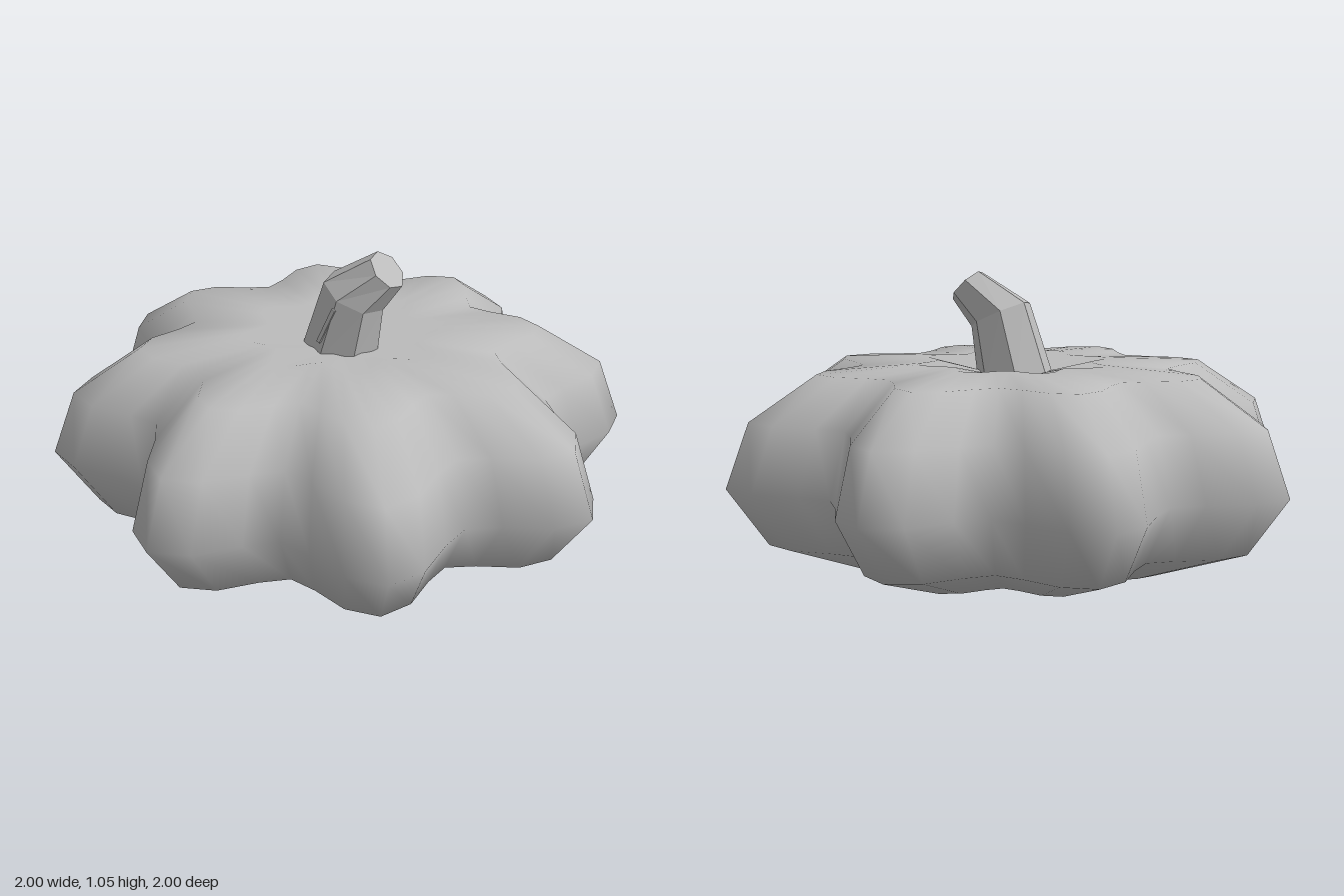
import * as THREE from 'three';
import { mergeVertices } from 'three/addons/utils/BufferGeometryUtils.js';

const grey = new THREE.MeshStandardMaterial({ color: 0xbbbbbb });
grey.name = 'grey';

// Squat lathe whose radius swells into eight smooth lobes
function makeBody() {
  const profile = [
    [0, 0.03], [0.2, 0], [0.53, 0.04], [0.86, 0.15], [1, 0.35],
    [0.92, 0.57], [0.69, 0.72], [0.34, 0.74], [0, 0.68],
  ].map(([r, y]) => new THREE.Vector2(r, y));
  let geo = new THREE.LatheGeometry(profile, 48);
  const p = geo.attributes.position;
  for (let i = 0; i < p.count; i++) {
    const angle = Math.atan2(p.getX(i), p.getZ(i));
    const k = 0.883 + 0.117 * Math.cos(8 * angle);
    p.setXYZ(i, p.getX(i) * k, p.getY(i), p.getZ(i) * k);
  }
  // Weld the seam so the shading stays smooth all round
  geo.deleteAttribute('uv');
  geo.deleteAttribute('normal');
  geo = mergeVertices(geo, 1e-4);
  geo.computeVertexNormals();
  const mesh = new THREE.Mesh(geo, grey);
  mesh.name = 'pumpkinBody';
  return mesh;
}

// Seven-sided faceted stem: three rings, each tilted further towards +x
function makeStem() {
  const rings = [
    { c: [-0.005, 0.68, 0.005], rx: 0.14, rz: 0.12, tilt: 0 },
    { c: [0.055, 0.9, 0.005], rx: 0.115, rz: 0.1, tilt: 0.42 },
    { c: [0.168, 0.998, -0.025], rx: 0.073, rz: 0.065, tilt: 0.78 },
  ];
  let geo = new THREE.CylinderGeometry(1, 1, 1, 7, 2);
  const p = geo.attributes.position;
  for (let i = 0; i < p.count; i++) {
    const { c, rx, rz, tilt } = rings[Math.round((p.getY(i) + 0.5) * 2)];
    const x = p.getX(i) * rx, z = p.getZ(i) * rz;
    p.setXYZ(i, c[0] + x * Math.cos(tilt), c[1] - x * Math.sin(tilt), c[2] + z);
  }
  geo = geo.toNonIndexed();
  geo.computeVertexNormals();
  const mesh = new THREE.Mesh(geo, grey);
  mesh.name = 'stem';
  return mesh;
}

// Narrow raised rib on the front of the stem
function makeRib() {
  const mesh = new THREE.Mesh(new THREE.BoxGeometry(0.014, 0.14, 0.02), grey);
  mesh.position.set(0.018, 0.805, 0.108);
  mesh.rotation.set(-0.08, 0, -0.42);
  mesh.name = 'stemRib';
  return mesh;
}

export function createModel() {
  const group = new THREE.Group();
  group.name = 'pumpkin';
  group.add(makeBody(), makeStem(), makeRib());
  return group;
}
